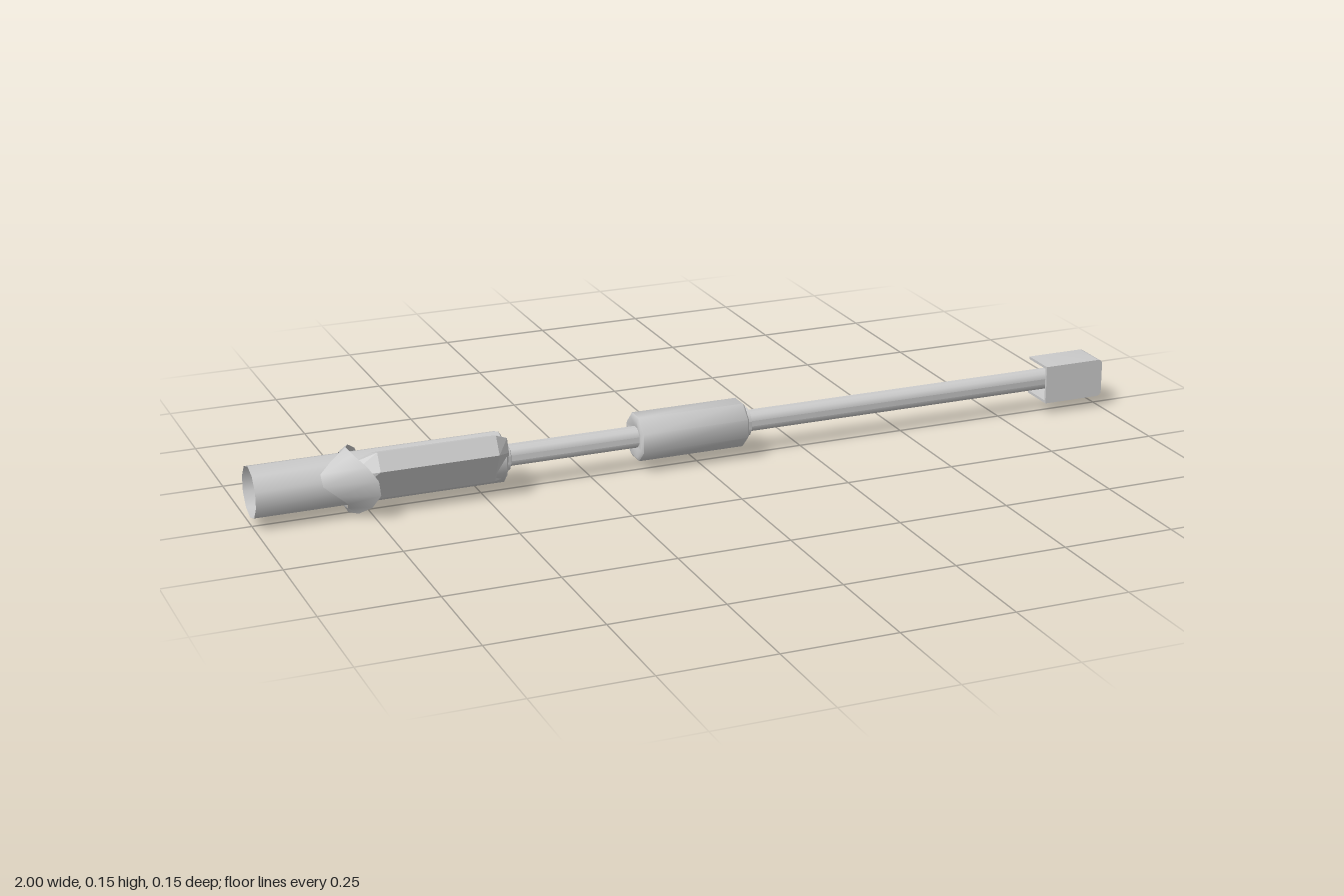
import * as THREE from 'three';
import { toCreasedNormals } from 'three/addons/utils/BufferGeometryUtils.js';

const AXIS_Y = 0.073, AXIS_Z = -0.009;

export function createModel() {
  const model = new THREE.Group();
  const smooth = new THREE.MeshStandardMaterial({ color: 0xcccccc, side: THREE.DoubleSide });
  const flat = new THREE.MeshStandardMaterial({ color: 0xcccccc, side: THREE.DoubleSide, flatShading: true });

  const add = (name, geometry, material = smooth) => {
    const mesh = new THREE.Mesh(geometry, material);
    mesh.name = name;
    model.add(mesh);
    return mesh;
  };

  // Turned part along x from [x, radius] pairs
  const turned = (name, profile, sides) => {
    const points = profile.map(([x, r]) => new THREE.Vector2(r, x));
    const geo = new THREE.LatheGeometry(points, sides, Math.PI / sides);
    geo.rotateZ(-Math.PI / 2);
    add(name, toCreasedNormals(geo, 0.9)).position.set(0, AXIS_Y, AXIS_Z);
  };

  // Skin through equally sized loops of [x, y, z]
  const loft = (loops, closedEnds) => {
    const n = loops[0].length;
    const index = [];
    for (let i = 0; i < loops.length - 1; i++) {
      for (let j = 0; j < n; j++) {
        const a = i * n + j, b = i * n + (j + 1) % n;
        index.push(a, b, a + n, b, b + n, a + n);
      }
    }
    if (closedEnds) {
      const last = (loops.length - 1) * n;
      for (let j = 1; j < n - 1; j++) index.push(0, j + 1, j, last, last + j, last + j + 1);
    }
    const geo = new THREE.BufferGeometry();
    geo.setAttribute('position', new THREE.Float32BufferAttribute(loops.flat(2), 3));
    geo.setIndex(index);
    geo.computeVertexNormals();
    return geo;
  };

  // Hollow handle tube with a recessed end, the rod and the sliding sleeve
  turned('handleTube', [[-1, 0.057], [-0.455, 0.057], [-0.45, 0.05], [-0.45, 0.04], [-0.46, 0.036], [-0.46, 0.024]], 10);
  turned('rod', [[-0.47, 0.024], [0.88, 0.024], [0.88, 0]], 12);
  turned('sleeve', [[-0.14, 0.024], [-0.145, 0.046], [-0.14, 0.054], [0.105, 0.054],
    [0.11, 0.048], [0.11, 0.038], [0.1, 0.036], [0.1, 0.024]], 8);

  // Small collars where the rod leaves the handle and the sleeve
  for (const [name, x] of [['handleCollar', -0.45], ['sleeveCollar', 0.11]]) {
    turned(name, [[x - 0.012, 0.034], [x + 0.012, 0.034], [x + 0.016, 0.024]], 12);
  }

  // Raised pad on the upper front of the handle, tapered at both ends
  const padLoop = (x, section) => section.map(([z, y]) => [x, y, z]);
  const full = [[-0.04, 0.113], [0.052, 0.144], [0.073, 0.107], [0.035, 0.035]];
  const leftEnd = [[-0.03, 0.113], [0.035, 0.129], [0.046, 0.1], [0.03, 0.04]];
  const rightEnd = [[-0.03, 0.11], [0.022, 0.113], [0.038, 0.095], [0.03, 0.045]];
  add('handlePad', loft([padLoop(-0.8, rightEnd), padLoop(-0.74, full),
    padLoop(-0.48, full), padLoop(-0.45, leftEnd)], true), flat);

  // Flared guard with a pointed, wavy rim
  const guard = [[], []];
  const sides = 14;
  for (let i = 0; i < sides; i++) {
    const t = (i / sides) * Math.PI * 2;
    const tip = Math.max(0, Math.cos(t - 1.1)) ** 3;
    const inner = -0.8 - 0.065 * tip;
    const outer = -0.767 + 0.026 * Math.cos(2 * (t - 1.65));
    guard[0].push([inner, AXIS_Y + 0.06 * Math.cos(t), AXIS_Z + 0.006 + 0.061 * Math.sin(t)]);
    guard[1].push([outer, AXIS_Y + 0.073 * Math.cos(t), 0.079 * Math.sin(t)]);
  }
  add('guard', loft(guard, false));

  // Hollow tip: a C-shaped wall rounded at its outer end, open at the back
  const tip = new THREE.Group();
  tip.name = 'tip';
  model.add(tip);
  const x0 = 0.855, x1 = 1, y0 = 0.027, y1 = 0.115, r = 0.012, w = 0.006;
  const outline = (shape, d, radius) => {
    shape.lineTo(x1 - d - radius, y0 + d);
    shape.quadraticCurveTo(x1 - d, y0 + d, x1 - d, y0 + d + radius);
    shape.lineTo(x1 - d, y1 - d - radius);
    shape.quadraticCurveTo(x1 - d, y1 - d, x1 - d - radius, y1 - d);
    shape.lineTo(x0, y1 - d);
  };
  const panel = new THREE.Shape();
  panel.moveTo(x0, y0);
  outline(panel, 0, r);
  const wall = new THREE.Shape();
  wall.moveTo(x0, y0);
  outline(wall, 0, r);
  // Inner edge of the wall runs back the other way
  wall.lineTo(x0, y1 - w);
  wall.lineTo(x1 - w - r, y1 - w);
  wall.quadraticCurveTo(x1 - w, y1 - w, x1 - w, y1 - w - r);
  wall.lineTo(x1 - w, y0 + w + r);
  wall.quadraticCurveTo(x1 - w, y0 + w, x1 - w - r, y0 + w);
  wall.lineTo(x0, y0 + w);
  const extrude = (name, shape, depth, z) => {
    const geo = new THREE.ExtrudeGeometry(shape, { depth, bevelEnabled: false, curveSegments: 4 });
    const mesh = new THREE.Mesh(toCreasedNormals(geo, 0.6), smooth);
    mesh.name = name;
    mesh.position.z = z;
    tip.add(mesh);
  };
  extrude('tipWall', wall, 0.08, -0.05);
  extrude('tipFrontPanel', panel, w, 0.027);

  // Ribs inside the tip
  for (const x of [0.9, 0.945]) {
    const rib = new THREE.Mesh(new THREE.BoxGeometry(0.006, 0.08, 0.062), smooth);
    rib.name = 'tipRib';
    rib.position.set(x, (y0 + y1) / 2, -0.003);
    tip.add(rib);
  }
  return model;
}
